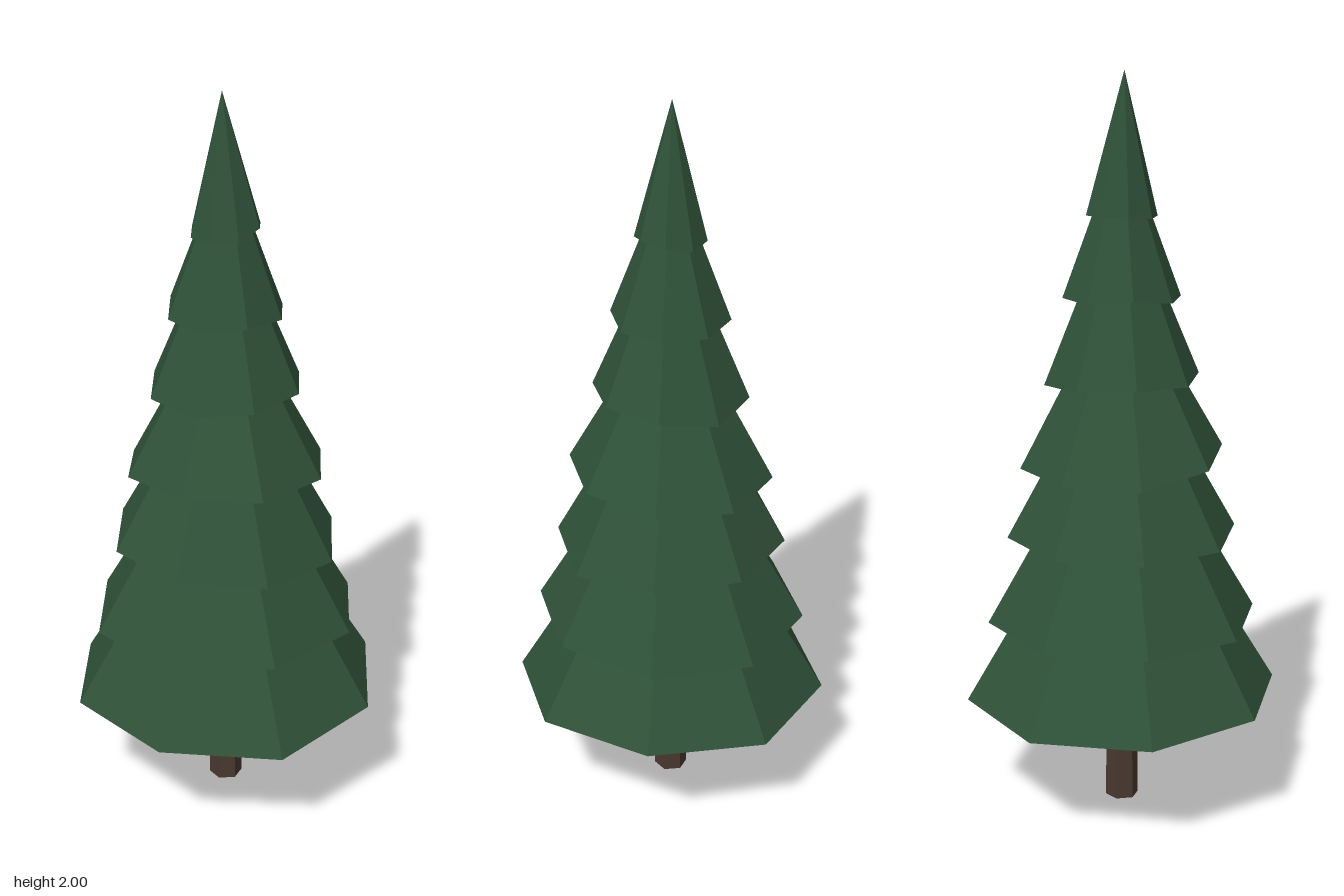
import * as THREE from 'three';

const needles = new THREE.MeshStandardMaterial({ color: 0x2f5138, flatShading: true });
needles.name = 'pineGreen';
const bark = new THREE.MeshStandardMaterial({ color: 0x4a382f, flatShading: true });
bark.name = 'barkBrown';

// Each tier: rim radius, tip height, and the height of its eight rim corners
// (from the front corner, turning towards +x)
const tiers = [
  [0.425, 1.03, [0.32, 0.303, 0.325, 0.335, 0.313, 0.308, 0.313, 0.322]],
  [0.365, 1.17, [0.535, 0.548, 0.546, 0.54, 0.532, 0.535, 0.536, 0.532]],
  [0.31, 1.33, [0.77, 0.76, 0.75, 0.76, 0.77, 0.772, 0.775, 0.77]],
  [0.273, 1.48, [0.998, 0.99, 0.987, 0.975, 0.96, 0.965, 0.962, 0.985]],
  [0.207, 1.7, [1.2, 1.212, 1.22, 1.212, 1.185, 1.2, 1.21, 1.2]],
  [0.157, 1.84, [1.41, 1.425, 1.418, 1.414, 1.416, 1.42, 1.432, 1.415]],
  [0.094, 2.0, [1.623, 1.635, 1.655, 1.645, 1.63, 1.635, 1.634, 1.628]],
];

// Eight-sided cone with an uneven rim and a closed underside
function branchTier(radius, tip, rim, lean) {
  const floor = rim.reduce((a, b) => a + b) / 8;
  const geometry = new THREE.ConeGeometry(radius, 1, 8, 1);
  const p = geometry.attributes.position;
  for (let i = 0; i < p.count; i++) {
    const x = p.getX(i), z = p.getZ(i);
    if (p.getY(i) > 0) {
      p.setXYZ(i, -0.008 * lean, tip, 0.005 * lean);
    } else if (Math.hypot(x, z) < radius / 2) {
      p.setY(i, floor);
    } else {
      const corner = (Math.round(Math.atan2(x, z) / (Math.PI / 4)) + 8) % 8;
      p.setY(i, rim[corner]);
    }
  }
  geometry.computeVertexNormals();
  return new THREE.Mesh(geometry, needles);
}

export function createModel() {
  const tree = new THREE.Group();
  tree.name = 'pineTree';

  // Six-sided trunk, ending inside the lowest tier
  const trunk = new THREE.Mesh(new THREE.CylinderGeometry(0.04, 0.045, 0.5, 6), bark);
  trunk.name = 'trunk';
  trunk.position.y = 0.25;
  tree.add(trunk);

  // Stacked branch tiers, the top one leaning slightly
  tiers.forEach(([radius, tip, rim], i) => {
    const tier = branchTier(radius, tip, rim, i === tiers.length - 1 ? 1 : 0);
    tier.name = `branchTier${i + 1}`;
    tree.add(tier);
  });
  return tree;
}
